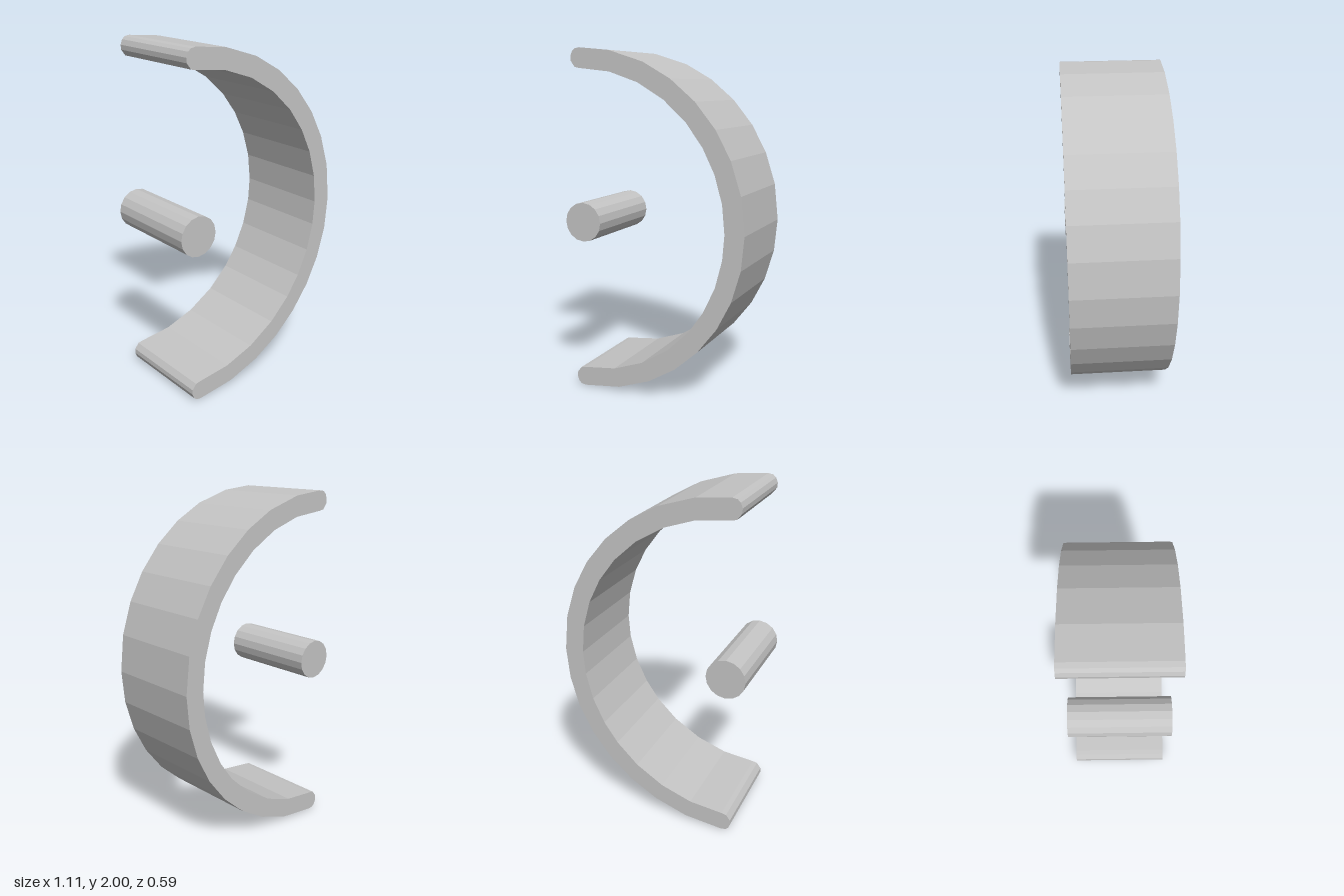
import * as THREE from 'three';

const DEPTH = 0.59;
const CENTRE = new THREE.Vector2(-0.447, 1);

// Points on a circle about the centre, angles in degrees clockwise from the top
function arc(radius, angles) {
  return angles.map((deg) => {
    const a = THREE.MathUtils.degToRad(deg);
    return new THREE.Vector2(CENTRE.x + radius * Math.sin(a), CENTRE.y + radius * Math.cos(a));
  });
}

export function createModel() {
  const group = new THREE.Group();
  const grey = new THREE.MeshStandardMaterial({ color: 0xc4c4c4, flatShading: true });
  grey.name = 'light grey';

  // Half-ring band: outer arc, rounded lower tip, inner arc, rounded upper tip
  const outer = arc(1, [0, 11, 23.6, 34.4, 45.2, 56, 66.5, 77.7, 90, 101, 111.8, 122.3, 133, 143.8, 154.8, 166.7, 180]);
  const inner = arc(0.886, [0, 12.5, 24.5, 36.4, 48, 58.5, 68.7, 79.3, 90, 99.2, 109.8, 120.5, 130, 141.7, 154.4, 167, 180]);
  const upperTip = [[-0.476, 1.892], [-0.501, 1.925], [-0.503, 1.952], [-0.492, 1.98], [-0.475, 1.995]]
    .map(([x, y]) => new THREE.Vector2(x, y));
  const lowerTip = upperTip.map((p) => new THREE.Vector2(p.x, 2 - p.y)).reverse();
  const profile = new THREE.Shape([...outer, ...lowerTip, ...inner.reverse(), ...upperTip]);
  const bandGeometry = new THREE.ExtrudeGeometry(profile, { depth: DEPTH, bevelEnabled: false });
  bandGeometry.translate(0, 0, -DEPTH / 2);
  const band = new THREE.Mesh(bandGeometry, grey);
  band.name = 'curvedBand';
  group.add(band);

  // Pin along the axis of the band
  const pin = new THREE.Mesh(new THREE.CylinderGeometry(0.115, 0.115, DEPTH, 16), grey);
  pin.name = 'centrePin';
  pin.rotation.x = Math.PI / 2;
  pin.position.set(-0.443, 1.003, 0);
  group.add(pin);

  return group;
}
